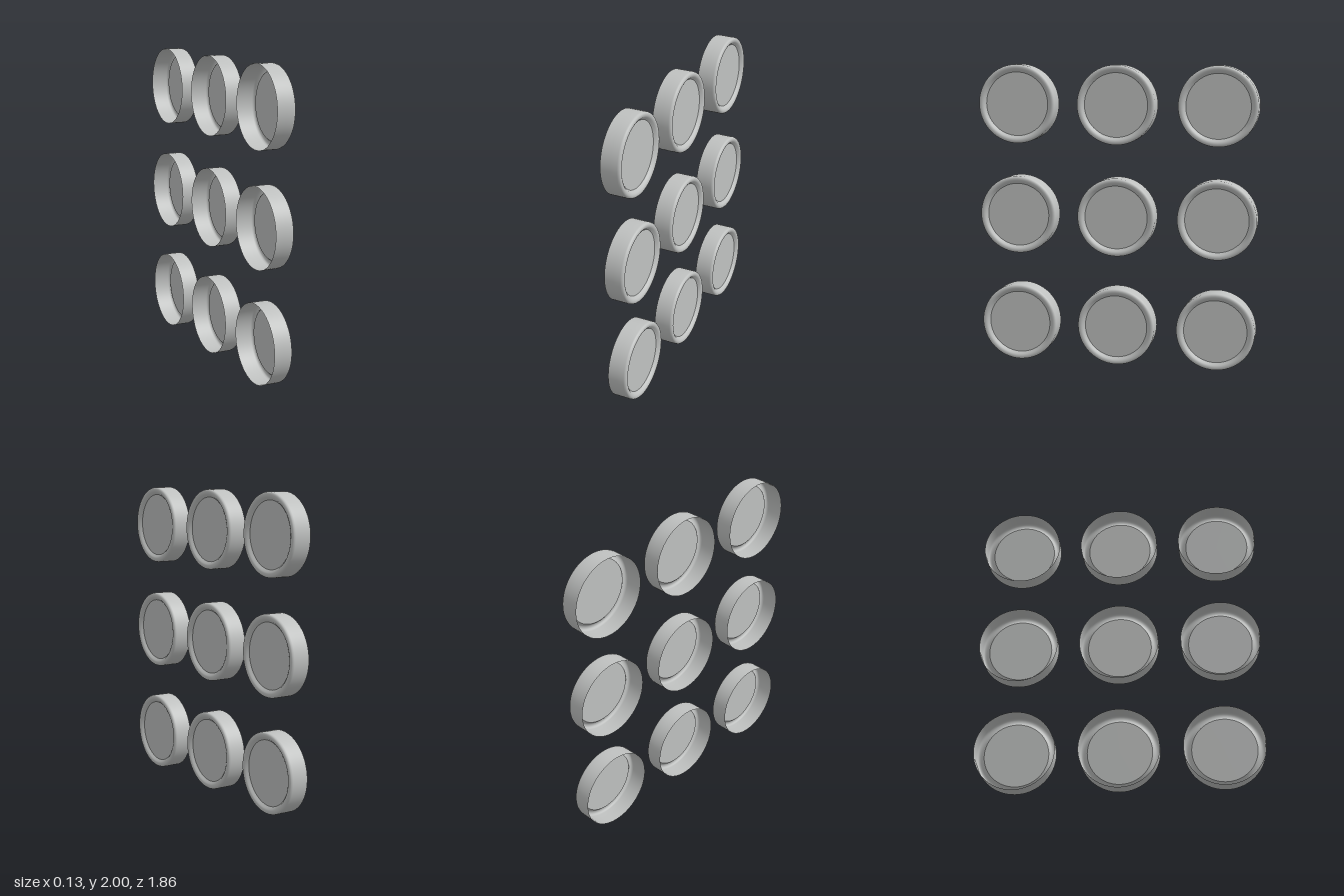
import * as THREE from 'three';

export function createModel() {
  const model = new THREE.Group();
  const grey = new THREE.MeshStandardMaterial({ color: 0xbfc1c0, side: THREE.DoubleSide });
  grey.name = 'light grey';

  // Thin shell: straight wall, rounded lip, slope down to the recessed face
  const profile = [
    [0.26, -0.063], [0.26, 0.0], [0.26, 0.045], [0.2575, 0.055], [0.252, 0.061],
    [0.244, 0.063], [0.234, 0.062], [0.225, 0.057], [0.217, 0.048], [0.21, 0.042],
  ].map(([r, h]) => new THREE.Vector2(r, h));
  const shellGeometry = new THREE.LatheGeometry(profile, 64).rotateZ(-Math.PI / 2);

  // Flat face closing the +x end
  const faceGeometry = new THREE.CircleGeometry(0.21, 64).rotateY(Math.PI / 2).translate(0.042, 0, 0);

  // Three by three grid of caps facing +x
  for (let row = 0; row < 3; row++) {
    for (let column = 0; column < 3; column++) {
      const cap = new THREE.Group();
      cap.name = `cap${row + 1}${column + 1}`;
      const shell = new THREE.Mesh(shellGeometry, grey);
      shell.name = 'rimShell';
      const face = new THREE.Mesh(faceGeometry, grey);
      face.name = 'recessedFace';
      cap.add(shell, face);
      cap.position.set(0, 0.26 + row * 0.74, (column - 1) * 0.668);
      model.add(cap);
    }
  }
  return model;
}
